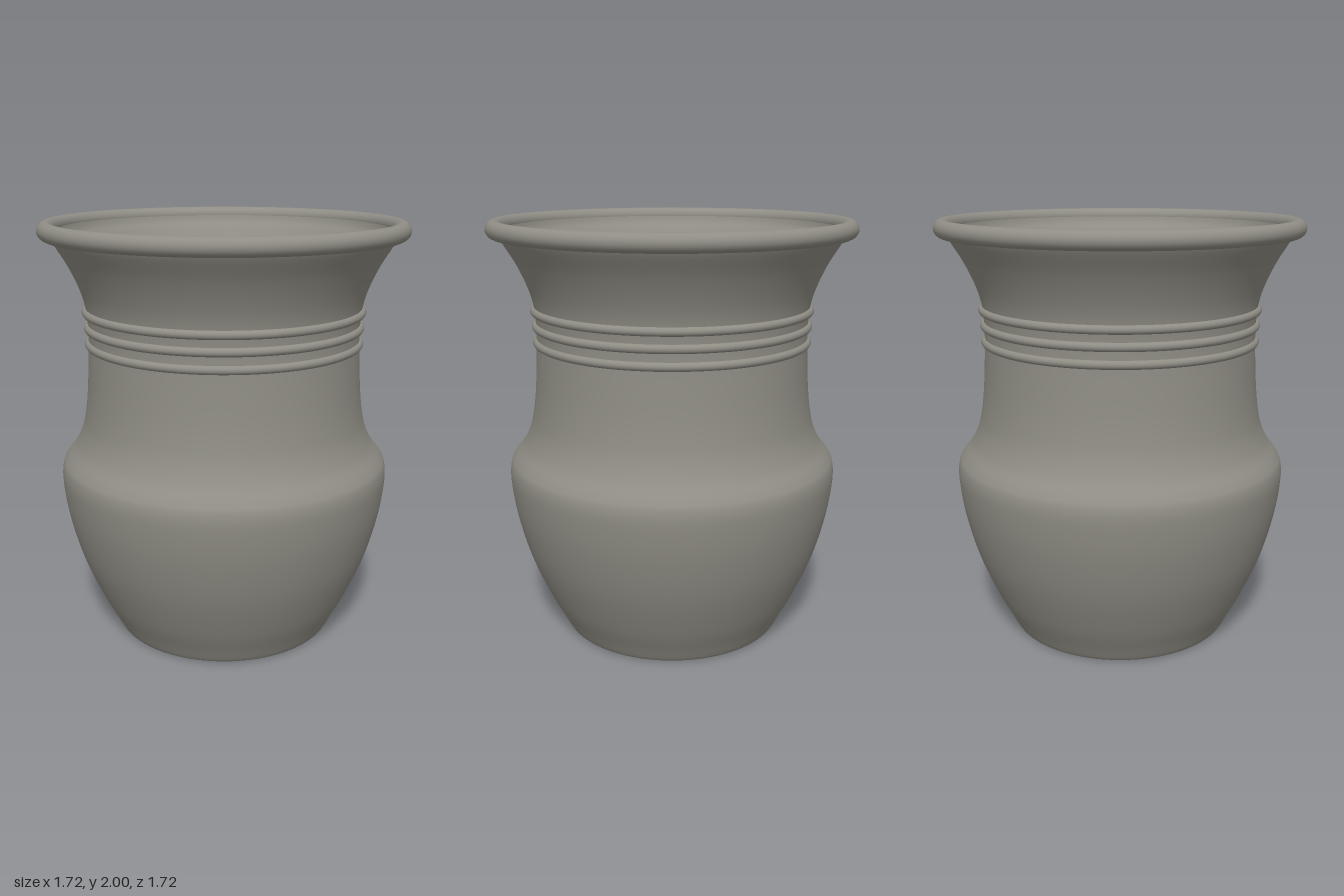
import * as THREE from 'three';

const SEGMENTS = 128;
const clay = new THREE.MeshStandardMaterial({ color: 0x8f8d84 });
clay.name = 'grey clay';

const toPoints = (list) => list.map(([r, y]) => new THREE.Vector2(r, y));
const smooth = (list, n) => new THREE.SplineCurve(toPoints(list)).getPoints(n);

export function createModel() {
  const pot = new THREE.Group();
  pot.name = 'pot';

  const add = (name, geometry) => {
    const mesh = new THREE.Mesh(geometry, clay);
    mesh.name = name;
    pot.add(mesh);
    return mesh;
  };
  const turn = (name, points) => add(name, new THREE.LatheGeometry(points, SEGMENTS));

  // Flat underside around the drainage hole
  turn('underside', toPoints([[0.055, 0], [0.52, 0]]));

  // Outer wall: tapered foot, rounded shoulder, waisted neck, flared mouth
  turn('outerWall', smooth([
    [0.52, 0], [0.537, 0.012], [0.57, 0.075], [0.634, 0.2], [0.715, 0.4], [0.768, 0.6],
    [0.79, 0.76], [0.787, 0.84], [0.765, 0.885], [0.72, 0.945], [0.687, 1.02],
    [0.669, 1.1], [0.655, 1.22], [0.645, 1.4], [0.644, 1.52], [0.655, 1.62],
    [0.683, 1.71], [0.73, 1.81], [0.785, 1.9], [0.8, 1.93],
  ], 110));

  // Inner wall, mouth down to the rounded floor corner
  turn('innerWall', smooth([
    [0.78, 1.97], [0.765, 1.93], [0.735, 1.89], [0.68, 1.8], [0.633, 1.71], [0.605, 1.62],
    [0.593, 1.52], [0.594, 1.4], [0.604, 1.22], [0.619, 1.1], [0.637, 1.02],
    [0.67, 0.945], [0.715, 0.885], [0.737, 0.83], [0.74, 0.76], [0.718, 0.6],
    [0.665, 0.4], [0.585, 0.2], [0.545, 0.115], [0.52, 0.08], [0.49, 0.07],
  ], 110));

  // Floor and drainage hole
  turn('floor', toPoints([[0.49, 0.07], [0.055, 0.07]]));
  turn('drainageHole', toPoints([[0.055, 0.07], [0.055, 0]]));

  // Rolled rim
  const rim = add('rim', new THREE.TorusGeometry(0.817, 0.041, 24, SEGMENTS));
  rim.rotation.x = Math.PI / 2;
  rim.position.y = 1.959;

  // Three raised bands around the neck
  [[0.65, 1.583], [0.643, 1.509], [0.641, 1.433]].forEach(([radius, y], i) => {
    const band = add('neckBand' + (i + 1), new THREE.TorusGeometry(radius, 0.02, 16, SEGMENTS));
    band.rotation.x = Math.PI / 2;
    band.position.y = y;
  });

  return pot;
}
